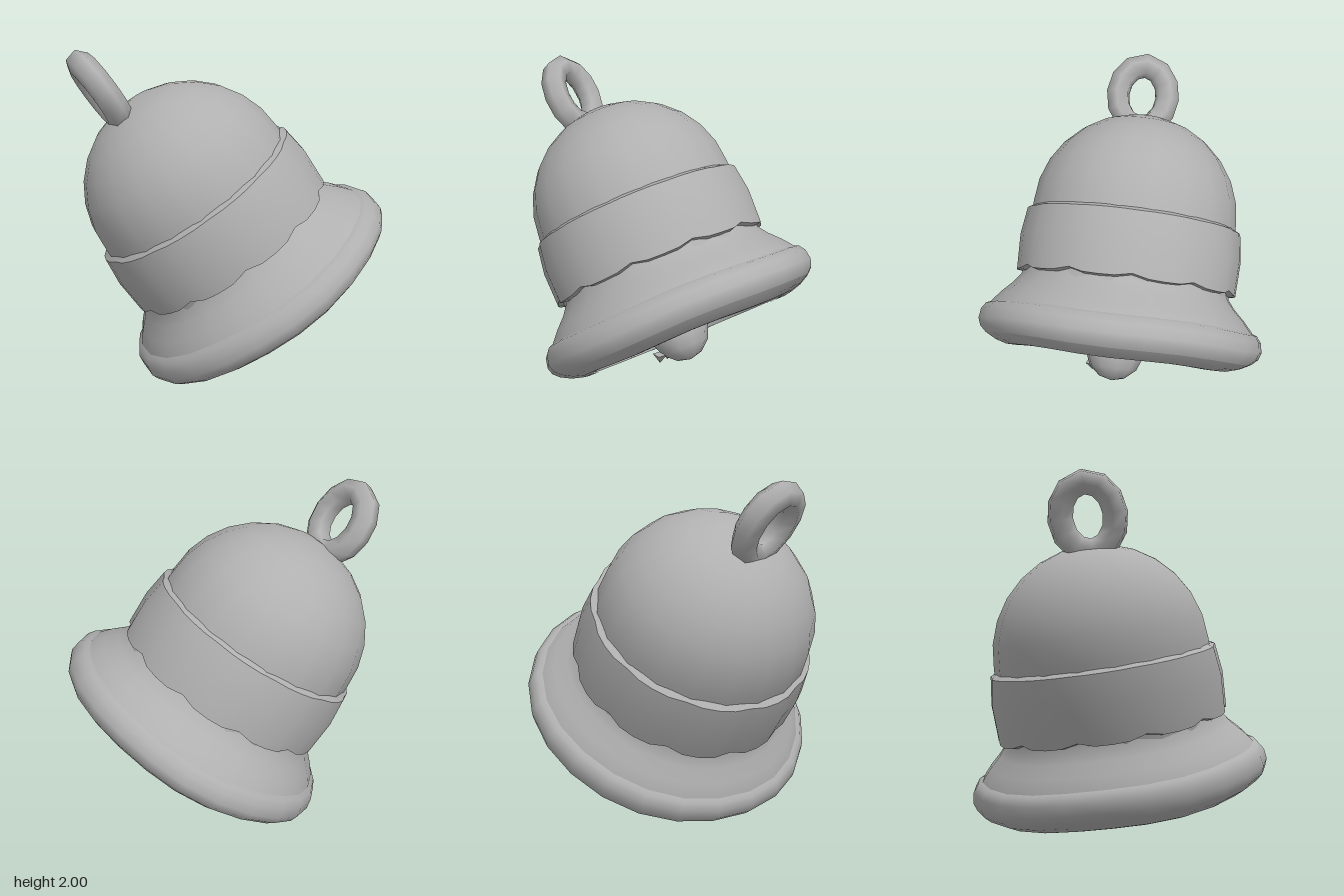
import * as THREE from 'three';

const metal = new THREE.MeshStandardMaterial({ color: 0xb0b0b0 });
metal.name = 'grey metal';

// Lathe from [radius, height] pairs
function lathe(name, profile, sides) {
  const geo = new THREE.LatheGeometry(profile.map(([r, y]) => new THREE.Vector2(r, y)), sides);
  const mesh = new THREE.Mesh(geo, metal);
  mesh.name = name;
  return mesh;
}

// Move vertices by a rule of angle, radius and height
function reshape(mesh, rule) {
  const p = mesh.geometry.attributes.position;
  for (let i = 0; i < p.count; i++) {
    const x = p.getX(i), y = p.getY(i), z = p.getZ(i);
    const a = Math.atan2(x, z);
    const [r, h] = rule(a, Math.hypot(x, z), y);
    p.setXYZ(i, r * Math.sin(a), h, r * Math.cos(a));
  }
  return mesh;
}

export function createModel() {
  const model = new THREE.Group();
  model.name = 'bell';

  // The bell is built upright around its dome centre, then tilted
  const axis = new THREE.Vector3(-0.44, 0.83, -0.345).normalize();
  const body = new THREE.Group();
  body.name = 'tiltedBody';
  body.position.set(-0.25, 1.17, -0.223);
  body.quaternion.setFromUnitVectors(new THREE.Vector3(0, 1, 0), axis);
  model.add(body);

  // Dome: straight lower wall and a round top
  const dome = [[0.65, -0.47], [0.65, -0.2], [0.642, 0]];
  for (let i = 1; i <= 7; i++) {
    const a = (i / 7) * Math.PI / 2;
    dome.push([Math.max(0, 0.642 * Math.cos(a)), 0.632 * Math.sin(a)]);
  }
  body.add(lathe('dome', dome, 20));

  // Band of slightly bulging plates with pinched, chipped joints
  const joint = (a) => Math.pow(Math.abs(Math.cos(a * 5.5)), 6);
  const parts = [
    ['bandLowerEdge', [[0.63, -0.45], [0.69, -0.44]]],
    ['bandFace', [[0.69, -0.44], [0.698, -0.22], [0.675, -0.05]]],
    ['bandUpperEdge', [[0.675, -0.05], [0.635, -0.03]]],
  ];
  for (const [name, profile] of parts) {
    body.add(reshape(lathe(name, profile, 44), (a, r, y) => {
      const j = joint(a);
      return [r > 0.64 ? r - 0.014 * j : r, y < -0.4 ? y + 0.025 * j : y];
    }));
  }

  // Flared skirt and rolled rim, a little uneven
  const wobble = (a, r, y) => [r + 0.006 * Math.sin(3 * a + 8 * y), y + 0.005 * Math.sin(5 * a)];
  body.add(reshape(lathe('skirt', [
    [0.845, -0.7], [0.815, -0.645], [0.765, -0.585], [0.7, -0.52], [0.655, -0.46], [0.64, -0.4],
  ], 24), wobble));
  body.add(reshape(lathe('rim', [
    [0.835, -0.845], [0.872, -0.81], [0.888, -0.765], [0.878, -0.705], [0.85, -0.665], [0.81, -0.65],
  ], 24), wobble));
  body.add(reshape(lathe('rimUnderside', [
    [0.63, -0.9], [0.7, -0.9], [0.77, -0.88], [0.835, -0.845],
  ], 24), wobble));

  // Inner lip and shallow hollow that rises to the clapper
  body.add(lathe('innerLip', [[0.575, -0.78], [0.6, -0.81], [0.645, -0.9]], 12));
  body.add(lathe('hollow', [[0, -0.46], [0.15, -0.5], [0.38, -0.63], [0.575, -0.78]], 12));

  // Clapper: ball on a short thick neck
  const clapper = lathe('clapper', [
    [0, -1.05], [0.08, -1.03], [0.15, -0.97], [0.19, -0.87], [0.18, -0.77],
    [0.145, -0.66], [0.11, -0.55], [0.09, -0.45],
  ], 10);
  clapper.position.set(-0.05, 0, -0.01);
  body.add(clapper);

  // Small broken tips under the clapper
  for (const [x, y, z] of [[-0.02, 0.285, 0.18], [0.0, 0.235, 0.02]]) {
    const tip = new THREE.Mesh(new THREE.ConeGeometry(0.045, 0.06, 4), metal);
    tip.name = 'clapperTip';
    tip.position.set(x, y, z);
    tip.rotation.x = Math.PI;
    model.add(tip);
  }

  // Hanging loop: oval ring sunk into the dome
  const side = new THREE.Vector3(-0.42, 0.145, 0.9);
  side.addScaledVector(axis, -side.dot(axis)).normalize();
  const hub = new THREE.Vector3(-0.695, 1.775, -0.49);
  const points = [];
  for (let i = 0; i < 12; i++) {
    const a = (i / 12) * Math.PI * 2;
    points.push(hub.clone()
      .addScaledVector(side, 0.16 * Math.cos(a))
      .addScaledVector(axis, 0.2 * Math.sin(a)));
  }
  const ring = new THREE.CatmullRomCurve3(points, true);
  const loop = new THREE.Mesh(new THREE.TubeGeometry(ring, 12, 0.078, 6, true), metal);
  loop.name = 'hangingLoop';
  model.add(loop);

  return model;
}
